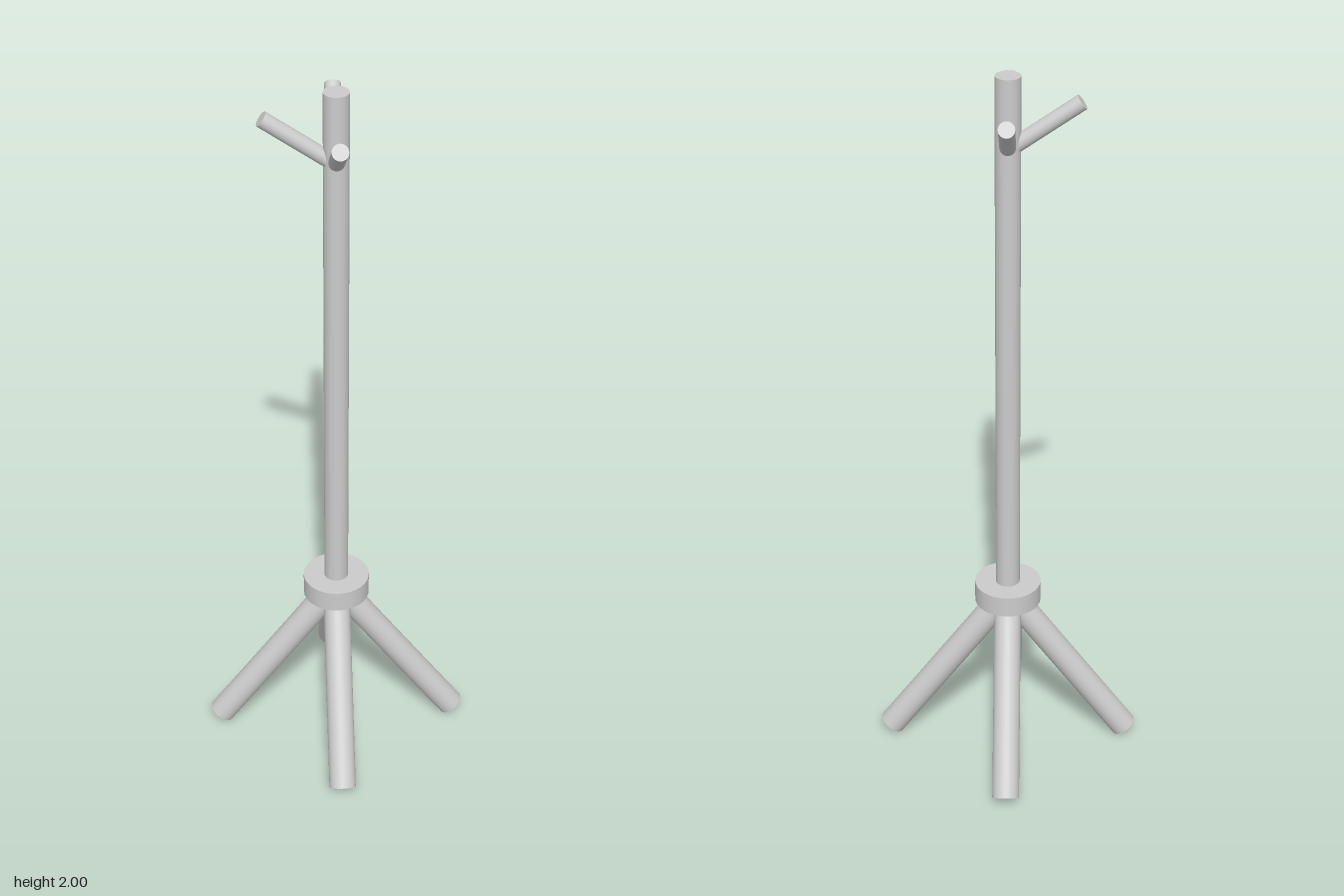
import * as THREE from 'three';

const material = new THREE.MeshStandardMaterial({ color: 0xcccccc });

// Upright round part between two heights
function upright(name, radius, y0, y1) {
  const mesh = new THREE.Mesh(new THREE.CylinderGeometry(radius, radius, y1 - y0, 32), material);
  mesh.name = name;
  mesh.position.y = (y0 + y1) / 2;
  return mesh;
}

// Slanted rod from the central axis out to a tip, turned about y
function rod(name, radius, startY, tipR, tipY, turn) {
  const dir = new THREE.Vector3(tipR, tipY - startY, 0);
  const geometry = new THREE.CylinderGeometry(radius, radius, dir.length(), 32);
  geometry.applyQuaternion(new THREE.Quaternion().setFromUnitVectors(
    new THREE.Vector3(0, 1, 0), dir.clone().normalize()));
  geometry.translate(tipR / 2, (startY + tipY) / 2, 0);
  const mesh = new THREE.Mesh(geometry, material);
  mesh.name = name;
  mesh.rotation.y = turn;
  return mesh;
}

export function createModel() {
  const group = new THREE.Group();
  group.name = 'coatStand';

  // Pole and the collar that joins it to the legs
  group.add(upright('pole', 0.033, 0.47, 2));
  group.add(upright('collar', 0.091, 0.46, 0.52));

  // Four splayed legs, one along each horizontal axis
  ['leftLeg', 'backLeg', 'rightLeg', 'frontLeg'].forEach((name, i) => {
    group.add(rod(name, 0.037, 0.482, 0.333, 0.022, i * Math.PI / 2));
  });

  // Three hooks: back, right and front
  ['backHook', 'rightHook', 'frontHook'].forEach((name, i) => {
    group.add(rod(name, 0.021, 1.805, 0.183, 1.933, (i + 1) * Math.PI / 2));
  });

  return group;
}
